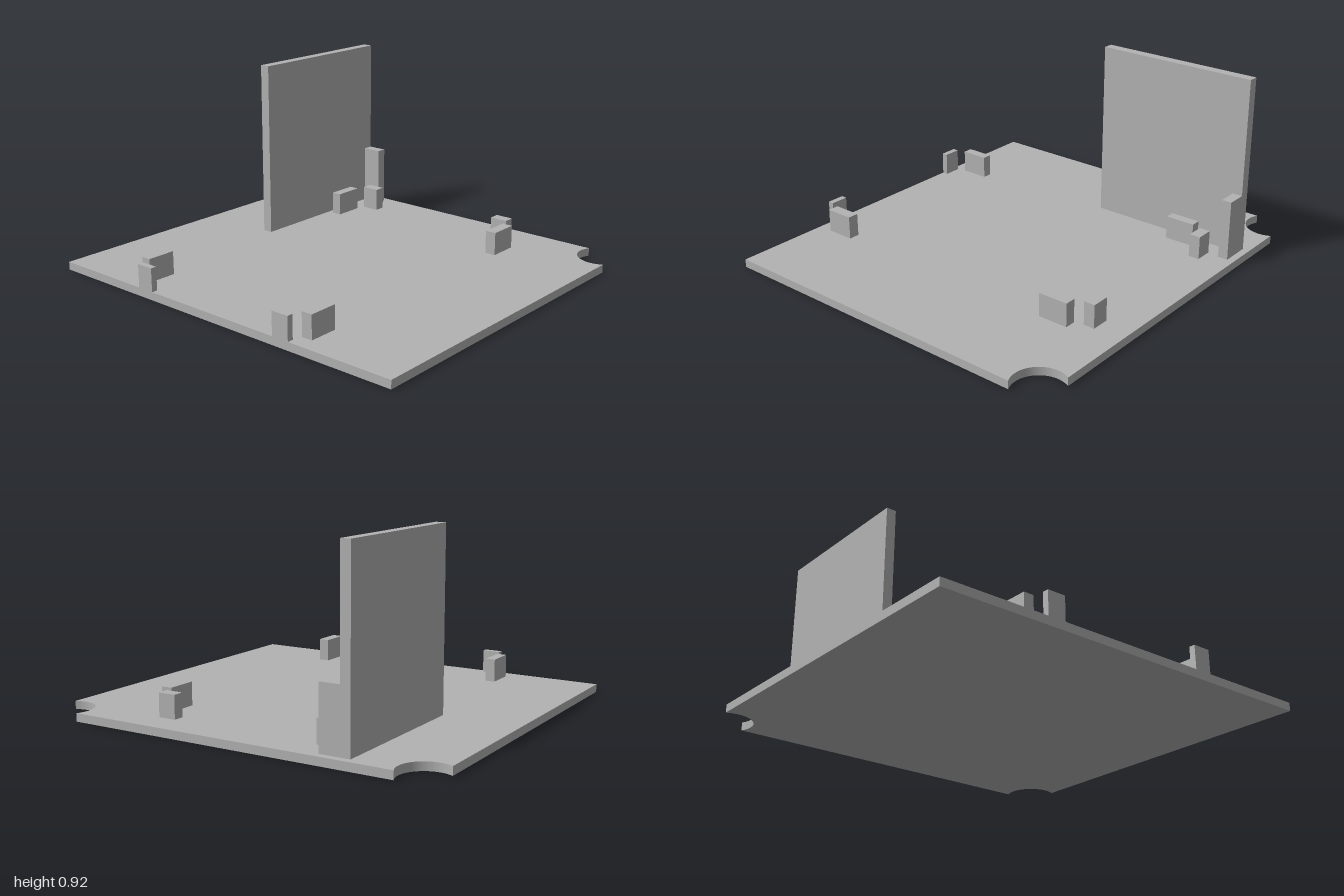
import * as THREE from 'three';
import { toCreasedNormals } from 'three/addons/utils/BufferGeometryUtils.js';

export function createModel() {
  const model = new THREE.Group();
  const grey = new THREE.MeshStandardMaterial({ color: 0xb2b2b2 });
  grey.name = 'grey';

  const BASE = 0.04; // plate thickness
  const DEPTH = 0.91; // half depth of the plate

  function add(name, geometry) {
    const mesh = new THREE.Mesh(geometry, grey);
    mesh.name = name;
    model.add(mesh);
  }

  // Box standing on the plate, given by its extents
  function block(name, x0, x1, z0, z1, top) {
    const g = new THREE.BoxGeometry(x1 - x0, top - BASE, z1 - z0);
    g.translate((x0 + x1) / 2, (BASE + top) / 2, (z0 + z1) / 2);
    add(name, g);
  }

  // Base plate with a round notch bitten out of each back corner
  const cx = 0.94, cy = 0.85, r = 0.125;
  const nearSide = Math.asin((1 - cx) / r); // where the notch meets the side edge
  const nearBack = Math.asin((DEPTH - cy) / r); // where it meets the back edge
  const outline = new THREE.Shape();
  outline.moveTo(-1, -DEPTH);
  outline.lineTo(1, -DEPTH);
  outline.absarc(cx, cy, r, -Math.PI / 2 + nearSide, -Math.PI - nearBack, true);
  outline.absarc(-cx, cy, r, nearBack, -Math.PI / 2 - nearSide, true);
  outline.closePath();
  const plate = new THREE.ExtrudeGeometry(outline, { depth: BASE, bevelEnabled: false, curveSegments: 24 });
  plate.rotateX(-Math.PI / 2);
  add('basePlate', toCreasedNormals(plate, 0.6));

  // Upright panel and the short tab bracing its back edge
  block('uprightPanel', -0.615, -0.565, -0.875, -0.055, 0.92);
  block('panelBrace', -0.565, -0.465, -0.875, -0.825, 0.34);

  // Corner locating blocks: one across and one lengthwise at each corner
  const TOP = 0.155;
  for (const [side, across, along] of [
    ['Right', [-0.475, -0.385], [-0.535, -0.485]],
    ['Left', [0.37, 0.46], [0.47, 0.525]],
  ]) {
    block('backCrossBlock' + side, ...across, -0.765, -0.71, TOP);
    block('backSideBlock' + side, ...along, -0.665, -0.515, TOP);
    block('frontSideBlock' + side, ...along, 0.69, 0.835, TOP);
    block('frontCrossBlock' + side, ...across, 0.88, DEPTH, TOP);
  }

  return model;
}
